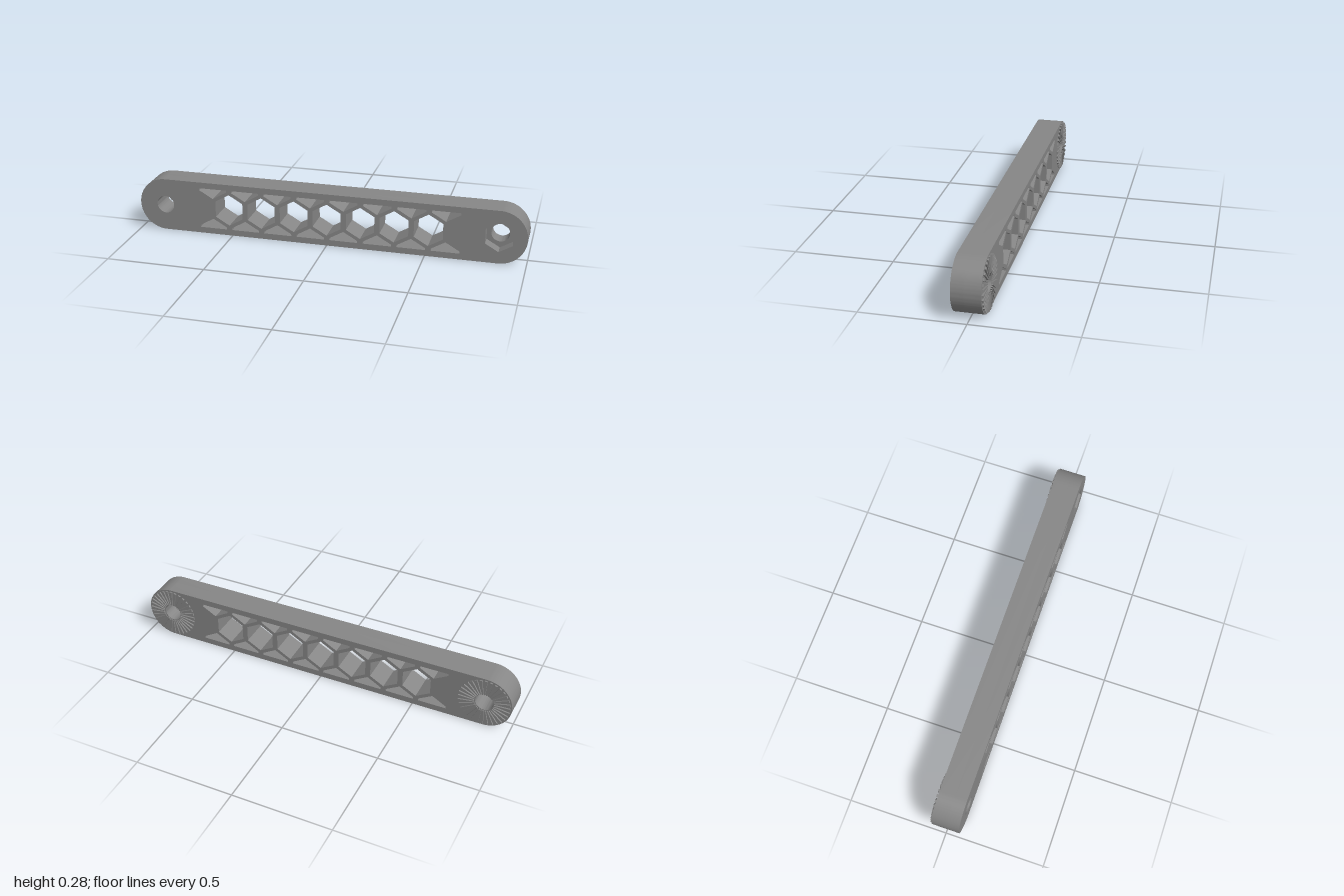
import * as THREE from 'three';
import { toCreasedNormals } from 'three/addons/utils/BufferGeometryUtils.js';

const R = 0.138;            // half height of the bar, also its end radius
const PIVOT = 1 - R;        // x of the two end holes
const FRONT = 0.073, BACK = -0.065, POCKET_FLOOR = 0.013;
const PITCH = 0.172;        // honeycomb spacing
const HEX = 0.0837;         // honeycomb cell corner radius

const pathOf = (points) => new THREE.Path(points.map(([x, y]) => new THREE.Vector2(x, y)));

// hexagon with a corner pointing up
function hexPath(cx, cy, r) {
  const points = [];
  for (let i = 0; i < 6; i++) {
    const a = Math.PI / 6 - (i * Math.PI) / 3;
    points.push([cx + r * Math.cos(a), cy + r * Math.sin(a)]);
  }
  return pathOf(points);
}

function circlePath(cx, r) {
  const p = new THREE.Path();
  p.absarc(cx, 0, r, 0, Math.PI * 2, true);
  return p;
}

// rounded bar outline with the honeycomb cut through it
function barShape() {
  const s = new THREE.Shape();
  s.absarc(PIVOT, 0, R, -Math.PI / 2, Math.PI / 2, false);
  s.absarc(-PIVOT, 0, R, Math.PI / 2, Math.PI * 1.5, false);
  s.closePath();
  for (let i = -3; i <= 3; i++) s.holes.push(hexPath(i * PITCH, 0, HEX));
  // clipped cells along both long edges
  const w = HEX * Math.cos(Math.PI / 6);
  const rim = 0.107, side = R - HEX / 2, tip = R - HEX;
  for (let i = -3.5; i <= 3.5; i++) {
    const x = i * PITCH;
    for (const m of [1, -1]) {
      s.holes.push(pathOf([
        [x - w, m * rim], [x + w, m * rim], [x + w, m * side], [x, m * tip], [x - w, m * side],
      ]));
    }
  }
  s.holes.push(circlePath(-PIVOT, 0.046));
  return s;
}

function extrude(shape, z0, z1) {
  const g = new THREE.ExtrudeGeometry(shape, { depth: z1 - z0, bevelEnabled: false, curveSegments: 32 });
  g.translate(0, 0, z0);
  return toCreasedNormals(g, 0.5);
}

export function createModel() {
  const model = new THREE.Group();
  model.name = 'lockingArm';
  const grey = new THREE.MeshStandardMaterial({ color: 0x868686 });
  grey.name = 'grey plastic';

  const add = (parent, name, geometry) => {
    const mesh = new THREE.Mesh(geometry, grey);
    mesh.name = name;
    parent.add(mesh);
    return mesh;
  };

  // front layer carries the hexagonal nut pocket, back layer the bolt hole
  const front = barShape();
  front.holes.push(hexPath(PIVOT, 0, 0.0775));
  add(model, 'barFront', extrude(front, POCKET_FLOOR, FRONT));
  const back = barShape();
  back.holes.push(circlePath(PIVOT, 0.046));
  add(model, 'barBack', extrude(back, BACK, POCKET_FLOOR));

  // radial locking teeth on the back of both ends
  const TEETH = 32, inner = 0.05, outer = 0.131;
  const half = Math.PI / TEETH / 2;
  const tooth = new THREE.Shape([
    [inner, -half], [outer, -half], [outer, half], [inner, half],
  ].map(([r, a]) => new THREE.Vector2(r * Math.cos(a), r * Math.sin(a))));
  const toothGeometry = extrude(tooth, -0.073, BACK);
  for (const [name, x] of [['leftTeeth', PIVOT], ['rightTeeth', -PIVOT]]) {
    const ring = new THREE.Group();
    ring.name = name;
    ring.position.x = x;
    for (let i = 0; i < TEETH; i++) {
      add(ring, 'tooth', toothGeometry).rotation.z = (i / TEETH) * Math.PI * 2;
    }
    model.add(ring);
  }

  for (const part of model.children) part.position.y = R;
  return model;
}
